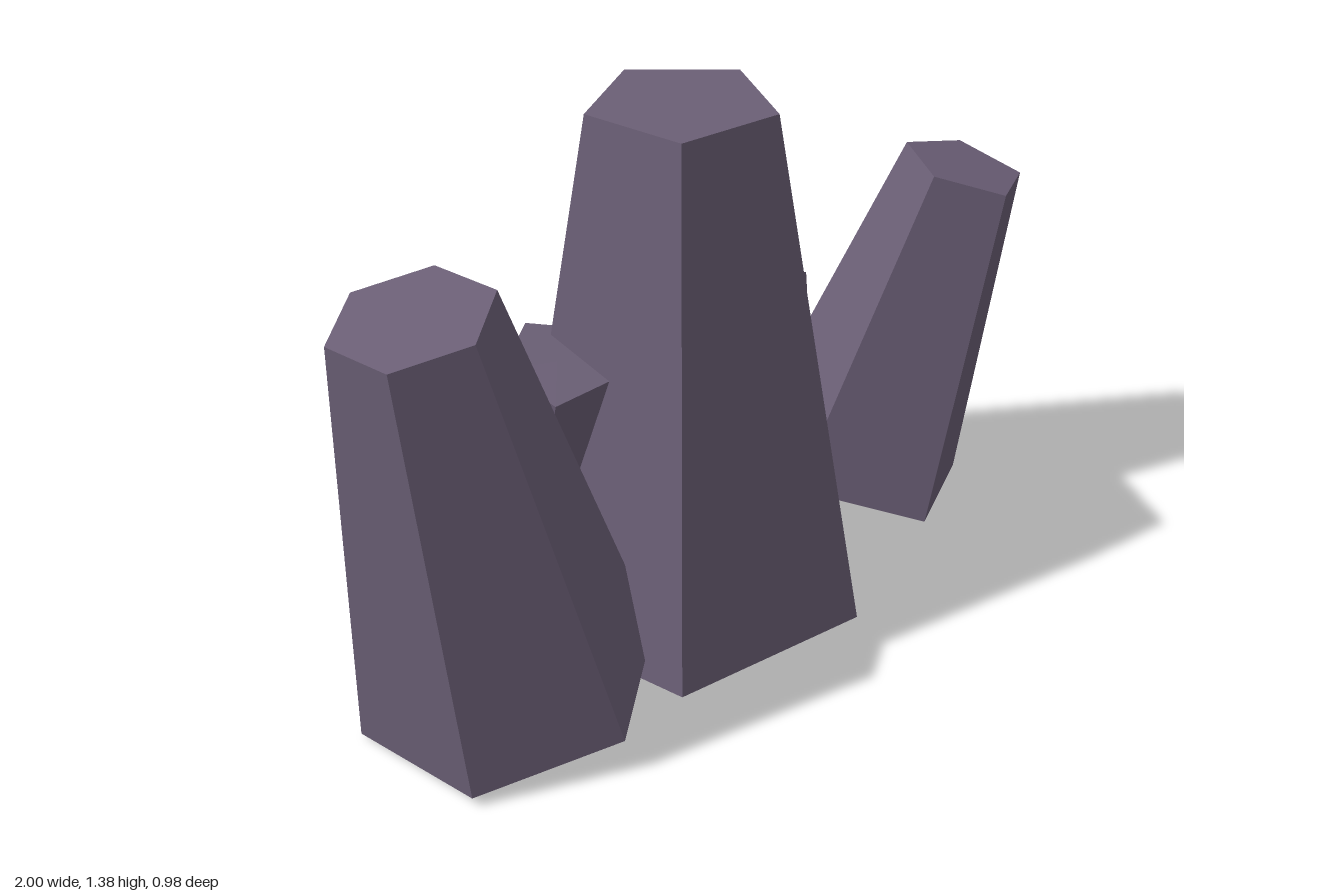
import * as THREE from 'three';

const material = new THREE.MeshStandardMaterial({ color: 0x6b5f76, flatShading: true });

// Tapered prism from a base centre to a top centre; corner is the direction
// from the axis towards one of its vertical edges.
function crystal({ name, base, top, baseRadius, topRadius, sides, corner }) {
  const from = new THREE.Vector3(...base);
  const to = new THREE.Vector3(...top);
  const up = to.clone().sub(from);
  const length = up.length();
  up.normalize();
  const front = new THREE.Vector3(...corner).projectOnPlane(up).normalize();
  const side = up.clone().cross(front);

  const geometry = new THREE.CylinderGeometry(topRadius, baseRadius, length, sides);
  const mesh = new THREE.Mesh(geometry, material);
  mesh.name = name;
  mesh.quaternion.setFromRotationMatrix(new THREE.Matrix4().makeBasis(side, up, front));
  mesh.position.copy(from).add(to).multiplyScalar(0.5);
  return mesh;
}

const crystals = [
  // Tall upright crystal in the middle
  { name: 'centerCrystal', base: [-0.075, 0.07, 0.058], top: [-0.075, 1.375, 0.058],
    baseRadius: 0.448, topRadius: 0.224, sides: 5, corner: [0, 0, -1] },
  // Six-sided crystal leaning outwards on the -x side
  { name: 'rightCrystal', base: [-0.63, 0.074, 0.132], top: [-0.828, 1.116, 0.15],
    baseRadius: 0.363, topRadius: 0.187, sides: 6, corner: [0.088, 0, 0.35] },
  // Five-sided crystal leaning outwards on the +x side
  { name: 'leftCrystal', base: [0.642, 0.076, -0.128], top: [0.848, 0.946, 0.004],
    baseRadius: 0.3, topRadius: 0.16, sides: 5, corner: [-0.008, -0.03, 0.162] },
  // Small crystals behind, tucked against the middle one
  { name: 'rearRightCrystal', base: [-0.337, 0.092, -0.243], top: [-0.403, 0.811, 0.03],
    baseRadius: 0.265, topRadius: 0.132, sides: 5, corner: [-0.013, 0.1, -0.247] },
  { name: 'rearLeftCrystal', base: [0.18, 0.1, -0.048], top: [0.4, 0.684, -0.243],
    baseRadius: 0.225, topRadius: 0.117, sides: 5, corner: [-0.157, 0.072, 0.042] },
];

export function createModel() {
  const group = new THREE.Group();
  group.name = 'crystalCluster';
  for (const spec of crystals) group.add(crystal(spec));
  return group;
}
